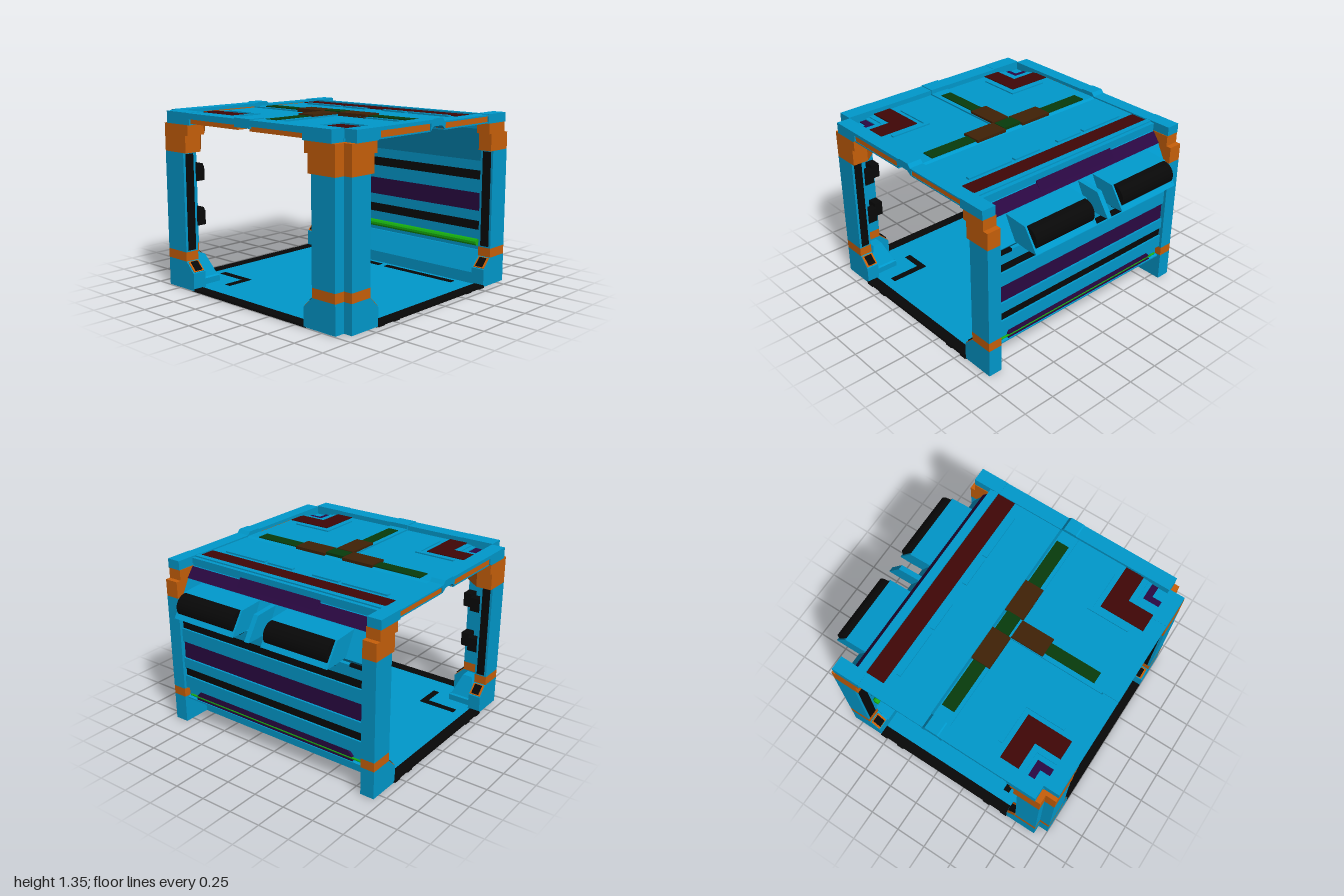
import * as THREE from 'three';

const mat = (color) => new THREE.MeshStandardMaterial({ color, flatShading: true });
const M = {
  blue: mat(0x0099cc), orange: mat(0xc8600a), black: mat(0x080808), purple: mat(0x2a0842),
  red: mat(0x400606), green: mat(0x083c0c), glow: mat(0x18b010), brown: mat(0x402206),
};
M.open = M.blue.clone();
M.open.side = THREE.DoubleSide;
M.drum = M.black.clone();
M.drum.flatShading = false;

export function createModel() {
  const model = new THREE.Group();
  const add = (name, geo, m) => {
    const mesh = new THREE.Mesh(geo, M[m]);
    mesh.name = name;
    model.add(mesh);
    return mesh;
  };

  // box given by its limits on each axis
  const box = (name, m, x0, x1, y0, y1, z0, z1) => {
    const mesh = add(name, new THREE.BoxGeometry(x1 - x0, y1 - y0, Math.abs(z1 - z0)), m);
    mesh.position.set((x0 + x1) / 2, (y0 + y1) / 2, (z0 + z1) / 2);
    return mesh;
  };

  // xy profile run along z
  const prism = (name, m, pts, z0, z1) => {
    const shape = new THREE.Shape(pts.map((p) => new THREE.Vector2(...p)));
    const geo = new THREE.ExtrudeGeometry(shape, { depth: z1 - z0, bevelEnabled: false });
    return add(name, geo.translate(0, 0, z0), m);
  };

  // solid through xz outlines stacked at heights; s mirrors it across z
  const loft = (name, m, rings, s) => {
    const R = rings.map(([y, pts]) => {
      const v = pts.map(([x, z]) => new THREE.Vector2(x, z * s));
      return { y, v: THREE.ShapeUtils.area(v) < 0 ? v.reverse() : v };
    });
    const pos = [];
    const put = (r, i) => pos.push(r.v[i].x, r.y, r.v[i].y);
    for (let k = 0; k + 1 < R.length; k++) {
      const a = R[k], b = R[k + 1], n = a.v.length;
      for (let i = 0; i < n; i++) {
        const j = (i + 1) % n;
        put(a, i); put(b, i); put(b, j);
        put(a, i); put(b, j); put(a, j);
      }
    }
    const lo = R[0], hi = R[R.length - 1];
    for (const [a, b, c] of THREE.ShapeUtils.triangulateShape(lo.v, [])) { put(lo, a); put(lo, b); put(lo, c); }
    for (const [a, b, c] of THREE.ShapeUtils.triangulateShape(hi.v, [])) { put(hi, c); put(hi, b); put(hi, a); }
    const geo = new THREE.BufferGeometry();
    geo.setAttribute('position', new THREE.Float32BufferAttribute(pos, 3));
    geo.computeVertexNormals();
    return add(name, geo, m);
  };

  // post outlines: g lengthens the inner ends; left posts are angles with a notched outer corner
  const notch = [[-0.92, 0.94], [-0.92, 0.87], [-1, 0.87]];
  const leftRing = (g) => [[-1, 0.66 - g], [-0.89, 0.66 - g], [-0.89, 0.84], [-0.74 + g, 0.84], [-0.74 + g, 0.94], ...notch];
  const leftCap = (g) => [[-1, 0.66 - g], [-0.88 + g / 2, 0.66 - g], [-0.74 + g, 0.83 - g / 2], [-0.74 + g, 0.94], ...notch];
  const rightRing = (g, out = 0.82) => [[0.64 - g, 0.83], [out, 0.83], [out, 0.94], [0.64 - g, 0.94]];

  for (const s of [1, -1]) {
    for (const [name, ring, cap] of [['leftPost', leftRing, leftCap], ['rightPost', rightRing, rightRing]]) {
      loft('postFoot', 'blue', [[0.005, ring(0.08)], [0.14, ring(0.08)], [0.22, ring(0)]], s);
      loft('postBand', 'orange', [[0.22, ring(0)], [0.29, ring(0)]], s);
      loft(name, 'blue', [[0.29, ring(0)], [1.04, ring(0)]], s);
      loft('postCap', 'orange', [[1.04, cap(0.03)], [1.17, cap(0.03)]], s);
      loft('postCapTop', 'orange', [[1.17, cap(0.06, 0.78)], [1.25, cap(0.06, 0.78)]], s);
    }
    // framed dark pads on the foot chamfers, dark strips up the inner ends
    for (const [w, l, m] of [[0.046, 0.048, 'orange'], [0.03, 0.04, 'black']]) {
      const h = m === 'black' ? 0.012 : 0.005;
      for (const [x, a] of [[-0.7, -1], [0.6, 1]]) {
        box('footChamferPad', m, x - l, x + l, 0.18 - h, 0.18 + h, s * (0.89 - w), s * (0.89 + w)).rotation.z = a * Math.PI / 4;
      }
      const pad = box('footChamferPad', m, -0.945 - w, -0.945 + w, 0.18 - h, 0.18 + h, s * (0.62 - l), s * (0.62 + l));
      pad.rotation.x = -s * Math.PI / 4;
    }
    box('postStrip', 'black', -0.742, -0.737, 0.3, 1.03, s * 0.858, s * 0.922);
    box('postStrip', 'black', 0.637, 0.642, 0.3, 1.03, s * 0.85, s * 0.922);
    box('postStrip', 'black', -0.98, -0.91, 0.3, 1.03, s * 0.657, s * 0.662);
    // bumps along the inner faces of the angle
    for (const y of [0.53, 0.87]) {
      box('postBump', 'black', -0.81, -0.745, y - 0.055, y + 0.055, s * 0.755, s * 0.845);
      box('postBump', 'black', -0.895, -0.805, y - 0.055, y + 0.055, s * 0.665, s * 0.73);
    }
    // hollow tapered pad in the corner of the angle
    const profile = [[0.163, 0.005], [0.163, 0.06], [0.145, 0.07], [0.055, 0.23], [0, 0.23]].map((p) => new THREE.Vector2(...p));
    add('cornerPad', new THREE.LatheGeometry(profile, 4, Math.PI / 4), 'open').position.set(-0.82, 0, s * 0.755);
  }

  // floor plate with cut corners, dark rims and markings
  const floor = [[0.6, 0.9], [-0.705, 0.9], [-0.705, 0.64], [-0.97, 0.64], [-0.97, -0.64], [-0.705, -0.64], [-0.705, -0.9], [0.6, -0.9]];
  loft('floor', 'blue', [[0.004, floor], [0.014, floor]], 1);
  box('floorRimLeft', 'black', -1, -0.92, 0.001, 0.02, -0.6, 0.6);
  for (const s of [1, -1]) {
    box('floorRim', 'black', -0.68, 0.57, 0.001, 0.02, s * 0.86, s * 0.94);
    box('floorStripe', 'black', 0.47, 0.52, 0, 0.018, s * 0.03, s * 0.7);
    box('floorMark', 'black', -0.75, -0.53, 0, 0.018, s * 0.47, s * 0.52);
    box('floorMark', 'black', -0.58, -0.53, 0, 0.018, s * 0.52, s * 0.78);
    for (const x of [-0.63, -0.47, 0.37, 0.53]) box('rimTab', 'black', x - 0.03, x + 0.03, 0, 0.018, s * 0.93, s * 0.947);
  }

  // side wall: lower slope, tubes, stacked bands, upper slope
  prism('wallBase', 'blue', [[0.56, 0.004], [0.6, 0.004], [0.6, 0.07], [0.79, 0.2], [0.79, 0.21], [0.66, 0.26], [0.645, 0.26], [0.56, 0.1]], -0.83, 0.83);
  const bands = [[0.3, 0.4, 0.8, 'blue'], [0.4, 0.47, 0.785, 'black'], [0.47, 0.55, 0.8, 'blue'], [0.55, 0.69, 0.785, 'purple'],
    [0.69, 0.795, 0.8, 'blue'], [0.795, 0.865, 0.785, 'black'], [0.865, 0.95, 0.8, 'blue']];
  for (const [y0, y1, x, m] of bands) box('wallBand', m, 0.71, x, y0, y1, -0.83, 0.83);
  box('lowerStripeBack', 'blue', 0.71, 0.765, 0.2, 0.3, -0.83, 0.83);
  const taper = (z, x) => [[x, z], [x, -z], [0.72, -z], [0.72, z]];
  loft('lowerStripe', 'purple', [[0.2, taper(0.74, 0.785)], [0.25, taper(0.73, 0.785)], [0.3, taper(0.68, 0.785)]], 1);
  for (const [x, y, r] of [[0.675, 0.31, 0.028], [0.78, 0.235, 0.008]]) {
    const tube = add('lightTube', new THREE.CylinderGeometry(r, r, 1.6, 10), 'glow');
    tube.rotation.x = Math.PI / 2;
    tube.position.set(x, y, 0);
  }
  prism('upperWall', 'blue', [[0.66, 0.95], [0.77, 0.95], [0.8, 0.985], [0.7, 1.17], [0.64, 1.25], [0.64, 1.28], [0.6, 1.28], [0.6, 1.2]], -0.83, 0.83);
  prism('upperStripe', 'purple', [[0.66, 1.17], [0.707, 1.17], [0.65, 1.245], [0.62, 1.245]], -0.83, 0.83);
  prism('upperStripeMiddle', 'purple', [[0.62, 1.2], [0.685, 1.2], [0.645, 1.262], [0.62, 1.262]], -0.36, 0.36);

  // two drums in open housings on the outside of the wall
  const cheek = [[0.74, 1.0], [0.9, 0.985], [1, 0.985], [0.89, 1.15], [0.7, 1.165], [0.72, 1.05]];
  for (const s of [1, -1]) {
    const drum = add('drum', new THREE.CylinderGeometry(0.09, 0.09, 0.53, 24), 'drum');
    drum.rotation.x = Math.PI / 2;
    drum.position.set(0.897, 1.06, s * 0.405);
    for (const z of [0.135, 0.675]) prism('housingCheek', 'blue', cheek, s * z - 0.01, s * z + 0.01);
    prism('housingTop', 'blue', [[0.7, 1.13], [0.87, 1.13], [0.89, 1.15], [0.7, 1.165]], s * 0.405 - 0.27, s * 0.405 + 0.27);
    prism('housingLip', 'blue', [[0.78, 0.99], [0.9, 0.985], [1, 0.985], [0.975, 1.02]], s * 0.405 - 0.27, s * 0.405 + 0.27);
    box('wallVent', 'black', 0.76, 0.805, 0.94, 0.96, s * 0.72, s * 0.83);
  }
  prism('centreBracket', 'blue', cheek, -0.02, 0.02);

  // roof plates either side of the raised main rib, the left one with cut corners
  const cut = [[-0.125, 0.87], [-0.675, 0.87], [-0.675, 0.62], [-0.92, 0.62]];
  const leftPlate = [...cut, ...cut.map(([x, z]) => [x, -z]).reverse()];
  loft('roofPlate', 'blue', [[1.265, leftPlate], [1.3, leftPlate]], 1);
  box('roofPlate', 'blue', 0.02, 0.62, 1.265, 1.3, -0.87, 0.87);
  prism('mainRib', 'blue', [[-0.13, 1.262], [-0.1, 1.288], [-0.01, 1.288], [0.03, 1.262], [0.03, 1.3], [0.01, 1.31], [-0.13, 1.31]], -0.84, 0.84);
  box('wallRail', 'blue', 0.57, 0.61, 1.265, 1.318, -0.84, 0.84);
  box('wallRailStep', 'blue', 0.61, 0.64, 1.265, 1.308, -0.84, 0.84);

  // edge beams with orange trim
  for (const s of [1, -1]) {
    const [a, b] = s > 0 ? [0.835, 0.945] : [-0.945, -0.835];
    prism('roofCornerLeft', 'blue', [[-0.88, 1.25], [-0.68, 1.25], [-0.655, 1.265], [-0.655, 1.335], [-0.88, 1.335]], a, b);
    prism('roofCornerRight', 'blue', [[0.56, 1.25], [0.78, 1.25], [0.78, 1.32], [0.56, 1.32]], a, b);
    box('roofCornerBlock', 'blue', -1, -0.88, 1.25, 1.34, s * 0.58, s * 0.84);
    box('roofBeamLeft', 'blue', -0.66, -0.1, 1.31, 1.335, a, b);
    box('roofBeamRight', 'blue', 0, 0.57, 1.305, 1.316, a, b);
    for (const [x0, x1] of [[-0.66, -0.125], [0.025, 0.57]]) {
      box('roofTrim', 'orange', x0, x1, 1.262, 1.311, s * 0.85, s * 0.935);
      box('roofBeamUnder', 'blue', x0, x1, 1.253, 1.263, s * 0.84, s * 0.937);
    }
    prism('roofClamp', 'blue', [[-0.13, 1.26], [-0.1, 1.288], [-0.01, 1.288], [0.03, 1.26], [0.035, 1.3], [0, 1.342], [-0.1, 1.342], [-0.13, 1.32]], a, b);
    box('sideTrim', 'orange', -0.985, -0.9, 1.26, 1.3, s * 0.06, s * 0.6);
  }
  box('sideBeam', 'blue', -1, -0.88, 1.295, 1.338, -0.59, 0.59);
  box('sideClamp', 'blue', -1, -0.87, 1.28, 1.345, -0.08, 0.08);

  // roof ribs with inlaid plates
  box('crossRib', 'blue', -0.88, -0.13, 1.258, 1.312, -0.08, 0.08);
  box('ribPlate', 'green', -0.79, -0.39, 1.255, 1.318, -0.045, 0.045);
  box('ribJoint', 'brown', -0.39, -0.13, 1.255, 1.328, -0.075, 0.075);
  box('ribCentre', 'green', -0.11, 0, 1.285, 1.332, -0.08, 0.08);
  for (const s of [1, -1]) {
    box('ribPlate', 'green', -0.1, 0, 1.285, 1.318, s * 0.35, s * 0.74);
    box('ribJoint', 'brown', -0.13, 0.02, 1.295, 1.328, s * 0.08, s * 0.35);
    box('ribJointUnder', 'brown', -0.1, -0.01, 1.284, 1.3, s * 0.08, s * 0.35);
    // corner panel: red angle round a recess that steps down to the corner
    const step = (name, m, x0, z0, x1, z1, y) =>
      loft(name, m, [[1.255, [[-0.89, z0], [x0, z0], [x0, 0.845], [x1, 0.845], [x1, z1], [-0.89, z1]]],
        [y, [[-0.89, z0], [x0, z0], [x0, 0.845], [x1, 0.845], [x1, z1], [-0.89, z1]]]], s);
    step('cornerAngle', 'red', -0.53, 0.475, -0.675, 0.62, 1.306);
    step('recessStep', 'blue', -0.675, 0.62, -0.72, 0.665, 1.296);
    step('recessStep', 'blue', -0.72, 0.665, -0.75, 0.7, 1.288);
    step('recessStep', 'purple', -0.75, 0.7, -0.8, 0.75, 1.28);
    box('recessFloor', 'blue', -0.89, -0.8, 1.255, 1.272, s * 0.75, s * 0.845);
    // raised lines and blocks
    box('raisedLine', 'blue', -0.49, -0.46, 1.3, 1.31, s * 0.41, s * 0.74);
    box('raisedLine', 'blue', -0.79, -0.49, 1.3, 1.31, s * 0.41, s * 0.44);
    for (const [z0, z1] of [[0.09, 0.32], [0.35, 0.73]]) box('raisedBlock', 'blue', 0.355, 0.39, 1.3, 1.312, s * z0, s * z1);
  }
  box('roofStrip', 'red', 0.425, 0.57, 1.26, 1.306, -0.835, 0.835);
  return model;
}
